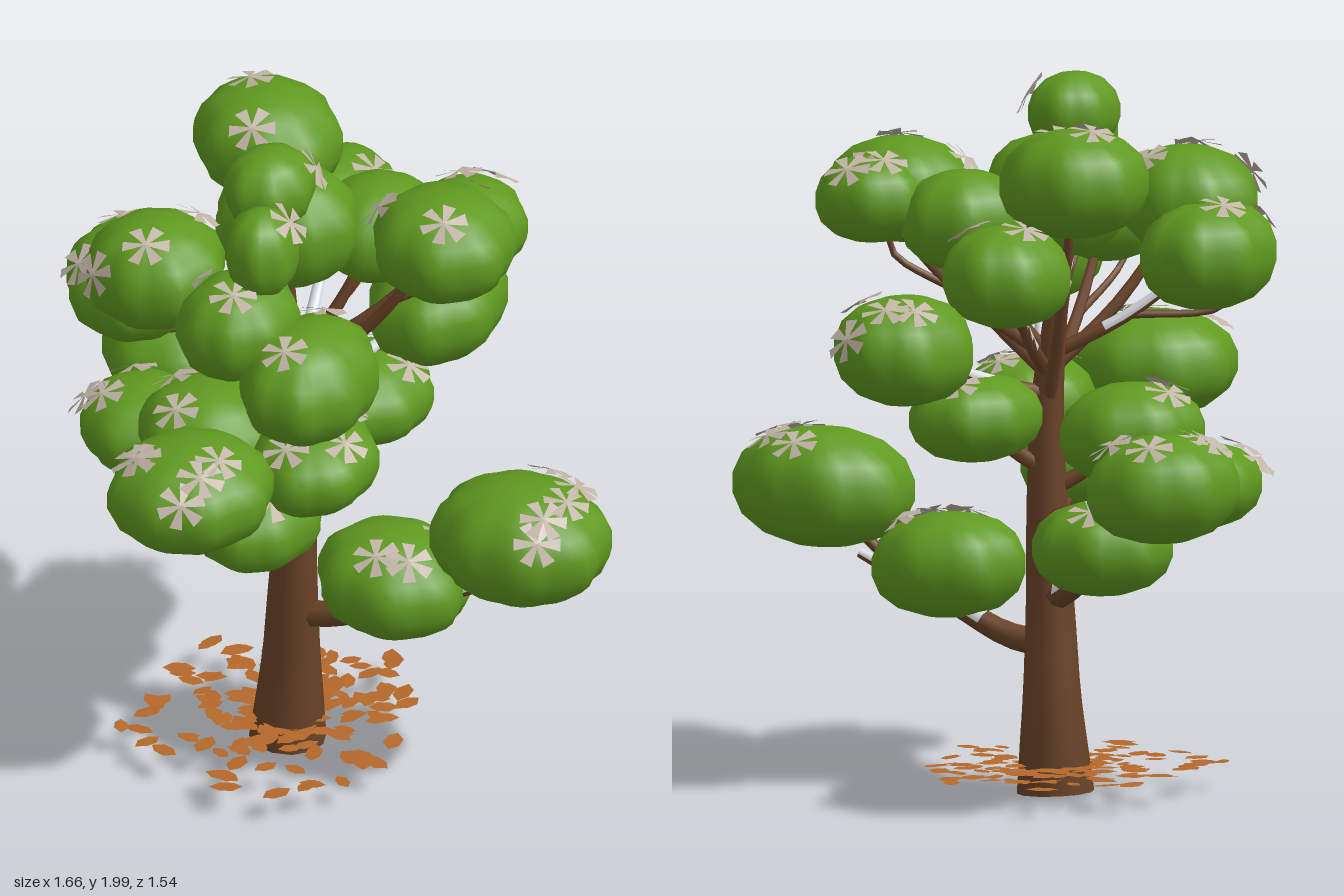
import * as THREE from 'three';
import { mergeVertices, mergeGeometries } from 'three/addons/utils/BufferGeometryUtils.js';

const mat = (name, color, side = THREE.FrontSide) => {
  const m = new THREE.MeshStandardMaterial({ color, side });
  m.name = name;
  return m;
};

// Leaf clumps: centre x, y, z then radii x, y, z
const CROWN = [
  [-0.10, 1.89, 0.08, 0.12, 0.11, 0.14], [-0.04, 1.80, 0.27, 0.10, 0.125, 0.11],
  [0.32, 1.68, -0.16, 0.20, 0.145, 0.20], [0.34, 1.67, -0.30, 0.16, 0.12, 0.16],
  [0.13, 1.46, 0.33, 0.18, 0.155, 0.23], [-0.09, 1.58, 0.32, 0.16, 0.14, 0.19],
  [-0.38, 1.64, 0.23, 0.19, 0.15, 0.20], [-0.50, 1.51, 0.10, 0.19, 0.15, 0.21],
  [-0.30, 1.76, -0.36, 0.21, 0.15, 0.20], [-0.12, 1.68, -0.08, 0.20, 0.17, 0.18],
  [-0.16, 1.51, -0.50, 0.17, 0.14, 0.21], [0.08, 1.62, -0.26, 0.17, 0.14, 0.18],
];
const LOWER = [
  [0.16, 1.28, -0.48, 0.18, 0.15, 0.24], [0.58, 0.82, -0.10, 0.25, 0.165, 0.22],
  [0.21, 0.62, -0.07, 0.22, 0.145, 0.20], [-0.15, 1.13, 0.51, 0.22, 0.145, 0.23],
  [-0.08, 0.90, 0.20, 0.17, 0.13, 0.21], [0.06, 1.07, 0.14, 0.17, 0.12, 0.21],
  [0.04, 1.07, -0.27, 0.18, 0.12, 0.20], [-0.31, 1.01, 0.01, 0.20, 0.14, 0.20],
  [-0.57, 0.90, -0.13, 0.18, 0.12, 0.19], [-0.62, 0.94, -0.47, 0.21, 0.15, 0.21],
  [-0.35, 0.73, -0.28, 0.20, 0.13, 0.19],
];
const CLUMPS = [...CROWN, ...LOWER];

// Blossom places as x, z pairs on the upper leaf surface
const BLOSSOMS = [
  -0.51, -0.57, -0.72, -0.45, -0.23, -0.54, -0.05, -0.51, 0.22, -0.72, 0.08, -0.60,
  0.28, -0.36, 0.37, -0.34, 0.36, -0.42, -0.37, -0.40, -0.28, -0.21, -0.14, -0.13,
  0.15, -0.12, 0.37, -0.05, 0.60, -0.25, 0.72, -0.09, 0.70, 0.06, -0.57, 0.04,
  -0.72, -0.08, -0.31, 0.11, 0.00, 0.02, 0.10, 0.02, 0.21, 0.05, 0.11, 0.19,
  0.03, 0.26, 0.11, 0.45, -0.07, 0.40, -0.22, 0.32, -0.36, 0.34, -0.60, 0.24,
  -0.05, 0.55, -0.28, 0.60, -0.09, 0.71, -0.48, 0.41, -0.49, -0.27,
];

export function createModel() {
  const tree = new THREE.Group();
  tree.name = 'tree';
  const bark = mat('bark brown', 0x6b4428);
  const snow = mat('pale branch top', 0xdfe3ea);
  const green = mat('leaf green', 0x609a20);
  const petal = mat('blossom beige', 0xc2b4a8, THREE.DoubleSide);
  const litter = mat('fallen leaf orange', 0xb5682a, THREE.DoubleSide);

  let seed = 7;
  const rnd = () => (seed = (seed * 16807) % 2147483647) / 2147483647;
  const add = (name, geo, material, parent = tree) => {
    const m = new THREE.Mesh(geo, material);
    m.name = name;
    parent.add(m);
    return m;
  };

  // Tapered tube; the outer upper side can take the pale colour
  function limb(name, pts, radii, sides = 8, pale = false) {
    const curve = new THREE.CatmullRomCurve3(pts.map(p => new THREE.Vector3(...p)));
    const steps = pts.length * 3;
    const geo = new THREE.TubeGeometry(curve, steps, 1, sides);
    const pos = geo.attributes.position, nor = geo.attributes.normal;
    const c = new THREE.Vector3(), v = new THREE.Vector3();
    for (let k = 0; k < pos.count; k++) {
      const t = Math.floor(k / (sides + 1)) / steps;
      const f = t * (radii.length - 1), i = Math.min(Math.floor(f), radii.length - 2);
      curve.getPointAt(t, c);
      v.fromBufferAttribute(pos, k).sub(c);
      v.multiplyScalar(THREE.MathUtils.lerp(radii[i], radii[i + 1], f - i)).add(c);
      pos.setXYZ(k, v.x, v.y, v.z);
    }
    if (!pale) return add(name, geo, bark);
    const idx = geo.index.array, brown = [], white = [];
    for (let k = 0; k < idx.length; k += 3) {
      const tri = [idx[k], idx[k + 1], idx[k + 2]];
      const up = tri.reduce((s, i) => s + nor.getY(i), 0) / 3;
      (up > 0 && k / idx.length > 0.3 ? white : brown).push(...tri);
    }
    geo.setIndex([...brown, ...white]);
    geo.addGroup(0, brown.length, 0);
    geo.addGroup(brown.length, white.length, 1);
    return add(name, geo, [bark, snow]);
  }

  // Trunk with closed foot
  limb('trunk', [[-0.13, 0.01, -0.11], [-0.12, 0.25, -0.11], [-0.11, 0.5, -0.1], [-0.1, 0.8, -0.1],
    [-0.1, 1.1, -0.1], [-0.13, 1.4, -0.1], [-0.12, 1.68, -0.08]],
  [0.108, 0.08, 0.066, 0.056, 0.045, 0.03, 0.018], 12);
  const foot = add('trunkFoot', new THREE.CircleGeometry(0.107, 12), bark);
  foot.rotation.x = Math.PI / 2;
  foot.position.set(-0.13, 0.01, -0.11);

  // Main low branches
  limb('rightLowBranch', [[-0.1, 0.42, -0.1], [0.02, 0.44, -0.1], [0.2, 0.52, -0.09], [0.47, 0.64, -0.1]],
    [0.04, 0.034, 0.028, 0.014], 8, true);
  limb('rightLowTwig', [[0.25, 0.54, -0.09], [0.42, 0.66, -0.1], [0.57, 0.8, -0.1]], [0.025, 0.018, 0.01]);
  limb('leftLowBranch', [[-0.1, 0.55, -0.1], [-0.18, 0.58, -0.15], [-0.35, 0.72, -0.28]],
    [0.042, 0.034, 0.02], 8, true);

  // Twigs reaching into each remaining clump
  for (const [x, y, z] of LOWER.filter(c => c[1] > 0.88)) {
    const h = y - 0.16;
    limb('middleBranch', [[-0.1, h, -0.1], [-0.1 + (x + 0.1) * 0.4, h + 0.05, -0.1 + (z + 0.1) * 0.4], [x, y, z]],
      [0.024, 0.02, 0.01], 7, y > 1.1);
  }
  CROWN.forEach(([x, y, z], i) => {
    const h = 1.08 + (i % 4) * 0.05;
    const mid = [-0.1 + (x + 0.1) * 0.5, h + (y - h) * 0.4, -0.1 + (z + 0.1) * 0.5];
    limb('crownBranch', [[-0.1, h, -0.1], mid, [x, y, z]], [0.022, 0.017, 0.01], 7, i % 3 === 1);
    if (i % 2) limb('crownTwig', [mid, [x - 0.04, y - 0.14, z + 0.03], [x - 0.07, y, z + 0.06]], [0.012, 0.01, 0.007], 6);
  });

  // Lobed leaf clump with scalloped outline
  function clumpGeometry([, , , rx, ry, rz]) {
    let geo = new THREE.SphereGeometry(1, 32, 9);
    geo.deleteAttribute('uv');
    geo.deleteAttribute('normal');
    const p = geo.attributes.position, lobes = 7 + Math.floor(rnd() * 2);
    const a = rnd() * 6.28, b = rnd() * 6.28;
    for (let i = 0; i < p.count; i++) {
      const x = p.getX(i), y = p.getY(i), z = p.getZ(i);
      const ang = Math.atan2(z, x), ring = Math.hypot(x, z);
      const box = (Math.pow(ring, 2.3) + Math.pow(Math.abs(y), 2.3)) ** (-1 / 2.3);
      const scallop = Math.abs(Math.cos(lobes * ang / 2 + a));
      const bulge = 1 + ring * (0.1 * scallop + 0.03 * Math.cos(2 * ang + b) - 0.06);
      p.setXYZ(i, x * rx * box * bulge, (y * box + 0.08 * x * ring * Math.cos(b)) * ry, z * rz * box * bulge);
    }
    geo = mergeVertices(geo, 1e-5);
    geo.computeVertexNormals();
    return geo;
  }
  const leaves = new THREE.Group();
  leaves.name = 'foliage';
  tree.add(leaves);
  for (const c of CLUMPS) add('leafClump', clumpGeometry(c), green, leaves).position.set(c[0], c[1], c[2]);

  // Six wedge petals around a point, drooping slightly
  const petalShape = new THREE.Shape([[0, 0.003], [0.066, 0.019], [0.066, -0.019], [0, -0.003]]
    .map(q => new THREE.Vector2(...q)));
  const petals = [];
  for (let i = 0; i < 6; i++) {
    petals.push(new THREE.ShapeGeometry(petalShape).rotateX(-Math.PI / 2 + 0.15).rotateZ(-0.12).rotateY(i * Math.PI / 3));
  }
  const flowerGeo = mergeGeometries(petals);
  const up = new THREE.Vector3(0, 1, 0);
  function blossom([cx, cy, cz, rx, ry, rz], x, z) {
    const d = Math.min(1, Math.hypot((x - cx) / rx, (z - cz) / rz));
    const h = Math.max(0.35, (1 - d ** 2.3) ** (1 / 2.3));
    const n = new THREE.Vector3((x - cx) / rx ** 2, h / ry * 1.2, (z - cz) / rz ** 2).normalize();
    const flower = add('blossom', flowerGeo, petal);
    flower.quaternion.setFromUnitVectors(up, n);
    flower.rotateY(rnd() * 6.28);
    flower.position.set(x, cy + h * ry, z).addScaledVector(n, 0.016);
  }
  const reach = (c, x, z) => Math.hypot((x - c[0]) / c[3], (z - c[2]) / c[5]);
  for (let i = 0; i < BLOSSOMS.length; i += 2) {
    const x = BLOSSOMS[i], z = BLOSSOMS[i + 1];
    const under = CLUMPS.filter(c => reach(c, x, z) < 0.95).sort((a, b) => b[1] + b[4] - a[1] - a[4]);
    const near = [...CLUMPS].sort((a, b) => reach(a, x, z) - reach(b, x, z));
    blossom(under[0] || near[0], x, z);
  }
  // Blossoms on the sheltered lower clumps, turned outward
  for (const c of LOWER) {
    const out = Math.atan2(c[2] + 0.1, c[0] + 0.1);
    for (const a of [out - 0.7, out + 0.8]) {
      blossom(c, c[0] + Math.cos(a) * c[3] * 0.65, c[2] + Math.sin(a) * c[5] * 0.65);
    }
  }

  // Fallen leaves, dense near the trunk
  const leafShape = new THREE.Shape([[-0.036, 0], [-0.014, 0.02], [0.016, 0.018], [0.038, 0], [0.014, -0.02],
    [-0.016, -0.017]].map(q => new THREE.Vector2(...q)));
  const fallen = [];
  for (let i = 0; i < 190; i++) {
    const a = rnd() * 6.28, r = 0.05 + 0.4 * Math.pow(rnd(), 1.6), s = 0.85 + rnd() * 0.45;
    fallen.push(new THREE.ShapeGeometry(leafShape).scale(s, s, s).rotateX(-Math.PI / 2 + (rnd() - 0.5) * 0.2)
      .rotateY(rnd() * 6.28).translate(-0.15 + Math.cos(a) * r, 0.078 + rnd() * 0.014, -0.09 + Math.sin(a) * r));
  }
  add('fallenLeaves', mergeGeometries(fallen), litter);
  return tree;
}
